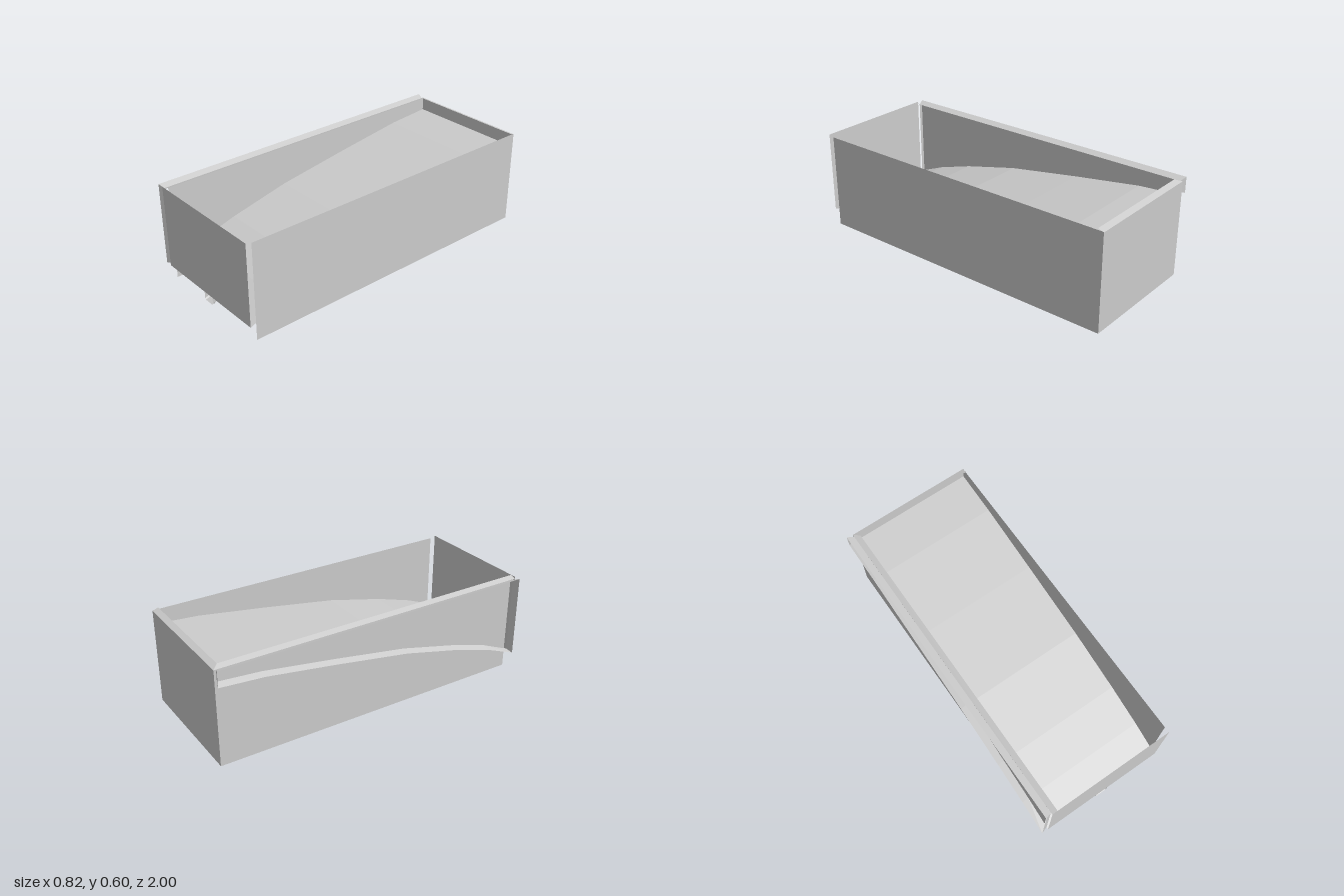
import * as THREE from 'three';

const material = new THREE.MeshStandardMaterial({
  color: 0xcccccc, flatShading: true, side: THREE.DoubleSide,
});

// Sheet surface spanning rows of [x, y, z] points
function sheet(name, rows) {
  const n = rows[0].length;
  const index = [];
  for (let r = 0; r < rows.length - 1; r++) {
    for (let i = 0; i < n - 1; i++) {
      const a = r * n + i, b = a + n;
      index.push(a, b, a + 1, b, b + 1, a + 1);
    }
  }
  let geometry = new THREE.BufferGeometry();
  geometry.setAttribute('position', new THREE.Float32BufferAttribute(rows.flat(2), 3));
  geometry.setIndex(index);
  geometry = geometry.toNonIndexed();
  geometry.computeVertexNormals();
  const mesh = new THREE.Mesh(geometry, material);
  mesh.name = name;
  return mesh;
}

export function createModel() {
  const group = new THREE.Group();
  const left = 0.41, right = -0.37, rim = 0.6, edge = 0.587;

  // Side profile of the curved floor, back to front: [z, y]
  const floor = [[-1, 0.503], [-0.73, 0.482], [-0.3, 0.418], [0.18, 0.34],
    [0.555, 0.25], [0.8, 0.175], [1, 0.095]];

  group.add(sheet('floor', [right, left].map((x) => floor.map(([z, y]) => [x, y, z]))));

  // Flat walls, with an open slit at the front corners
  group.add(sheet('leftWall', [0, 0.59].map((y) => [[left, y, 0.965], [left, y, -1]])));
  group.add(sheet('rightWall', [0, edge].map((y) => [[right, y, -1], [right, y, 0.965]])));
  group.add(sheet('backWall', [0, edge].map((y) => [[left, y, -1], [right, y, -1]])));
  group.add(sheet('frontWall', [0.095, rim].map((y) => [[right, y, 1], [left, y, 1]])));

  // Sloping top edges of the back and right walls, mitred at their corner
  group.add(sheet('backTopBevel', [
    [[left, edge, -1], [right, edge, -1]],
    [[left, rim, -0.965], [-0.337, rim, -0.965]],
  ]));
  group.add(sheet('rightTopBevel', [
    [[right, edge, -1], [right, edge, 1]],
    [[-0.337, rim, -0.965], [-0.337, rim, 1]],
  ]));

  // Flared flange framing the right wall above the floor line
  const ring = (x, inset) => {
    const points = floor.map(([z, y]) =>
      [x, y + inset, THREE.MathUtils.clamp(z, -1 + inset, 1 - inset)]);
    points.push([x, rim - inset, 1 - inset], [x, rim - inset, -1 + inset], points[0]);
    return points;
  };
  group.add(sheet('sideFlange', [ring(-0.41, 0), ring(right, 0.014)]));

  // Channel beam following the underside of the floor
  const section = [[-0.02, 0], [-0.02, -0.042], [-0.013, -0.05],
    [0.05, -0.05], [0.057, -0.042], [0.057, 0]];
  group.add(sheet('floorBeam',
    floor.map(([z, y]) => section.map(([x, dy]) => [x, y + dy, z]))));

  return group;
}
